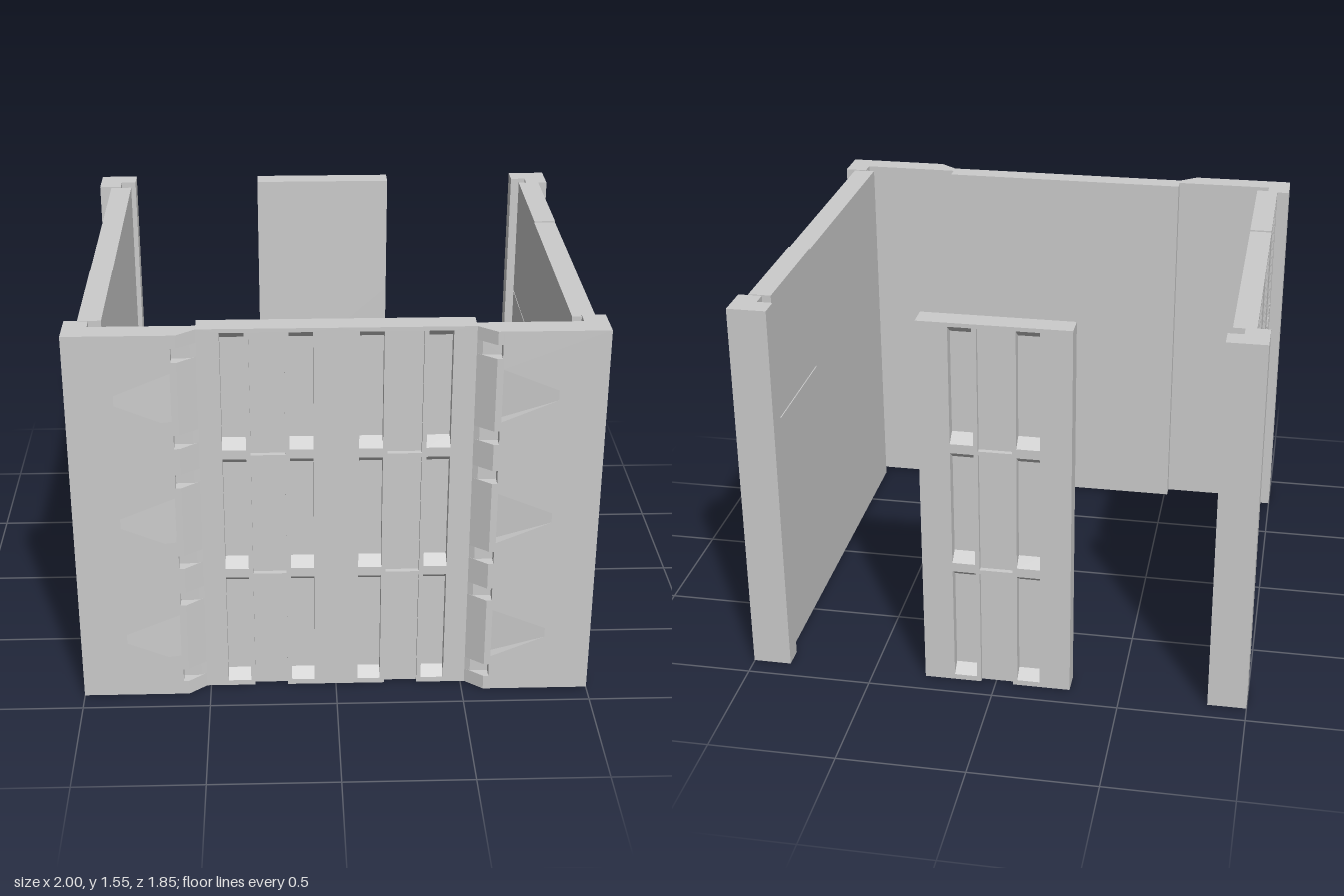
import * as THREE from 'three';
import { mergeGeometries } from 'three/addons/utils/BufferGeometryUtils.js';

const mat = new THREE.MeshStandardMaterial({ color: 0xcccccc, flatShading: true });
const BASE = 0.004, ROW = 0.516, H = ROW * 3; // panels are three rows high
const T = 0.088, DEEP = 0.045, SHALLOW = 0.02; // panel thickness, slot and field depths

const shapeOf = pts => new THREE.Shape(pts.map(([x, y]) => new THREE.Vector2(x, y)));
const extrude = (shape, depth) => new THREE.ExtrudeGeometry(shape, { depth, bevelEnabled: false });

function box(x0, x1, y0, y1, z0, z1) {
  return new THREE.BoxGeometry(Math.abs(x1 - x0), y1 - y0, z1 - z0)
    .translate((x0 + x1) / 2, (y0 + y1) / 2, (z0 + z1) / 2);
}

// Upright prism from a plan outline of [x, z] points
function prism(pts, y0, y1) {
  return extrude(shapeOf(pts.map(([x, z]) => [x, -z])), y1 - y0)
    .rotateX(-Math.PI / 2).translate(0, y0, 0);
}

function mesh(name, parts) {
  const m = new THREE.Mesh(mergeGeometries(parts.map(g => (g.index ? g.toNonIndexed() : g))), mat);
  m.name = name;
  return m;
}

// One panel tile: outer face at z = 0, two deep slots with sloped ends around a shallow field
function tile(w, cx, y) {
  const f = 0.065, top = 0.5, slot = [0.082, 0.172], y0 = 0.022, y1 = 0.5, slope = 0.034;
  const face = shapeOf([
    [-w / 2, 0], [-f, 0], [-f, top], [f, top], [f, 0],
    [w / 2, 0], [w / 2, ROW], [-w / 2, ROW],
  ]);
  const parts = [
    box(-w / 2, w / 2, 0, ROW, -T, -DEEP),
    box(-f, f, 0, top, -DEEP, -SHALLOW),
  ];
  for (const s of [-1, 1]) {
    const [a, b] = slot.map(v => v * s);
    face.holes.push(shapeOf([[a, y0], [b, y0], [b, y1], [a, y1]]));
    // sloped sill and head of the slot, drawn as [z, y]
    for (const tri of [
      [[-DEEP, y0], [0, y0], [-DEEP, y0 + slope]],
      [[-DEEP, y1 - slope], [0, y1], [-DEEP, y1]],
    ]) {
      parts.push(extrude(shapeOf(tri), slot[1] - slot[0])
        .rotateY(-Math.PI / 2).translate(Math.max(a, b), 0, 0));
    }
  }
  parts.push(extrude(face, DEEP).translate(0, 0, -DEEP));
  return parts.map(g => g.translate(cx, y, 0));
}

// Panel made of columns of three tiles; the last top tile can sit slightly proud
function panel(name, w, centres, lift = 0) {
  const parts = [];
  centres.forEach((cx, c) => {
    for (let r = 0; r < 3; r++) {
      const raised = c === centres.length - 1 && r === 2;
      parts.push(...tile(w, cx, r * ROW + (raised ? lift : 0)));
    }
  });
  return mesh(name, parts);
}

// Thick front wing with triangular ramp pockets and a notched chamfer
function wing(s) {
  const X = pts => pts.map(([x, z]) => [x * s, z]);
  const inner = 0.515, edge = 0.605, floor = 0.878, front = 0.92, back = 0.83;
  const face = shapeOf(X([[edge, 0], [1, 0], [1, H], [edge, H]]));
  const parts = [
    box(edge * s, s, 0, H, back, floor),
    box(0.91 * s, s, 0, H, 0.77, back), // corner return
  ];
  const whole = X([[inner, back], [edge, back], [edge, front], [0.585, front], [inner, 0.865]]);
  const cut = X([[inner, back], [edge, back], [edge, floor], [0.535, floor], [inner, 0.865]]);
  let y = 0;
  for (let r = 0; r < 3; r++) {
    const o = r * 0.515, c = o + 0.26;
    // pocket outline and its ramp
    face.holes.push(shapeOf(X([
      [0.61, c - 0.107], [0.82, c - 0.02], [0.82, c + 0.02], [0.61, c + 0.107],
    ])));
    parts.push(prism(X([[0.61, floor], [0.82, floor], [0.82, front]]), c - 0.107, c + 0.107));
    // chamfer strip, interrupted by notches
    for (const [a, b] of [[0.06, 0.115], [0.41, 0.465]]) {
      parts.push(prism(whole, y, o + a), prism(cut, o + a, o + b));
      y = o + b;
    }
  }
  parts.push(prism(whole, y, H));
  parts.push(extrude(face, front - floor).translate(0, 0, floor));
  return mesh(s > 0 ? 'frontWingLeft' : 'frontWingRight', parts);
}

// L-shaped rear corner post
function rearPost(s) {
  const plan = [[1, -0.925], [0.847, -0.925], [0.847, -0.84], [0.908, -0.84], [0.908, -0.78], [1, -0.78]];
  return mesh(s > 0 ? 'rearPostLeft' : 'rearPostRight',
    [prism(plan.map(([x, z]) => [x * s, z]), 0, H)]);
}

export function createModel() {
  const model = new THREE.Group();
  model.name = 'panelEnclosure';

  // Front wall: recessed centre between two wings
  const front = new THREE.Group();
  front.name = 'frontWall';
  const centre = panel('frontCentrePanel', 0.515, [-0.2575, 0.2575]);
  centre.position.z = 0.865;
  front.add(centre, wing(1), wing(-1));
  front.position.y = BASE;
  model.add(front);

  // Side walls, each the other turned half round
  for (const s of [1, -1]) {
    const wall = panel(s > 0 ? 'sideWallLeft' : 'sideWallRight', 0.518, [-0.518, 0, 0.518], 0.006);
    wall.rotation.y = s * Math.PI / 2;
    wall.position.x = s > 0 ? 0.962 : -0.95;
    model.add(wall);

    const post = rearPost(s);
    post.position.y = BASE;
    model.add(post);
  }

  // Free-standing rear panel
  const rear = panel('rearPanel', 0.585, [0]);
  rear.rotation.y = Math.PI;
  rear.position.set(-0.007, BASE, -0.917);
  model.add(rear);

  return model;
}
